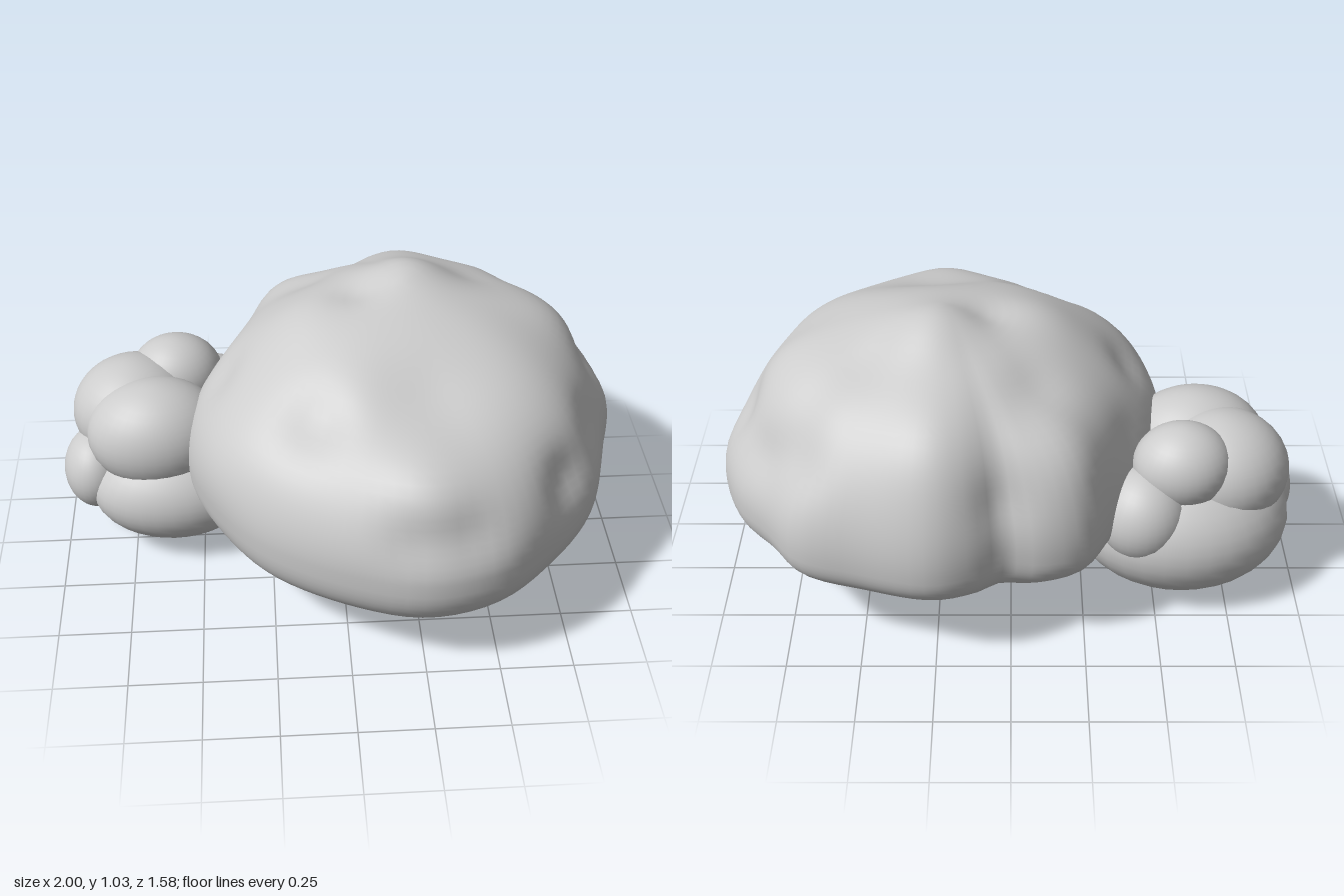
import * as THREE from 'three';
import { mergeVertices } from 'three/addons/utils/BufferGeometryUtils.js';

const CX = 0.23, CZ = -0.08, MID = 0.42;

// Plan outline of the large cloud, as x, z pairs
const OUTLINE = [
  [0.25, 0.79], [0, 0.72], [-0.28, 0.55], [-0.43, 0.35], [-0.53, 0.12], [-0.53, -0.08],
  [-0.45, -0.3], [-0.35, -0.47], [-0.25, -0.64], [-0.1, -0.69], [0.02, -0.68], [0.1, -0.74],
  [0.25, -0.79], [0.5, -0.73], [0.7, -0.66], [0.81, -0.52], [0.93, -0.38], [1, -0.15],
  [0.95, 0.06], [0.86, 0.35], [0.71, 0.55], [0.5, 0.73],
];

// Local swellings and hollows: x, y, z, radius, amount
const BUMPS = [
  // front lip, the crease under it and the slope above it
  [0.25, 0.71, 0.66, 0.16, 0.035], [0.28, 0.86, 0.38, 0.24, -0.065],
  [0.2, 0.57, 0.76, 0.11, -0.03], [0.38, 0.57, 0.74, 0.11, -0.03],
  [-0.1, 0.78, 0.38, 0.12, -0.045], [-0.36, 0.58, 0.3, 0.18, 0.03],
  // groove above the belt, running round the side
  [0.72, 0.56, 0.45, 0.11, -0.05], [0.85, 0.6, 0.2, 0.12, -0.03],
  [0.93, 0.65, -0.15, 0.13, -0.05], [0.86, 0.64, -0.42, 0.12, -0.04],
  [0.7, 0.7, -0.54, 0.12, -0.03], [0.74, 0.82, -0.15, 0.15, 0.02],
  // top
  [0.25, 1.0, -0.2, 0.14, 0.05], [0.07, 0.97, -0.1, 0.08, -0.02],
  [-0.1, 0.9, -0.05, 0.15, 0.025], [0.48, 0.92, -0.3, 0.12, -0.02],
  // back
  [0.25, 0.78, -0.6, 0.17, 0.03], [-0.06, 0.84, -0.38, 0.11, -0.03],
  [-0.17, 0.68, -0.5, 0.14, 0.03], [-0.38, 0.7, 0, 0.1, -0.03],
  [-0.42, 0.62, -0.3, 0.12, -0.02], [0.03, 0.62, -0.66, 0.1, -0.02],
];

function smooth(geometry) {
  geometry.deleteAttribute('uv');
  geometry.deleteAttribute('normal');
  const merged = mergeVertices(geometry, 1e-4);
  merged.computeVertexNormals();
  return merged;
}

// Returns the outline radius at any angle around the cloud centre
function outlineRadius() {
  const curve = new THREE.CatmullRomCurve3(
    OUTLINE.map(([x, z]) => new THREE.Vector3(x - CX, 0, z - CZ)), true);
  const samples = curve.getPoints(300).slice(0, 300)
    .map((p) => [Math.atan2(p.z, p.x), Math.hypot(p.x, p.z)])
    .sort((a, b) => a[0] - b[0]);
  const first = samples[0], last = samples[samples.length - 1];
  samples.push([first[0] + 2 * Math.PI, first[1]]);
  samples.unshift([last[0] - 2 * Math.PI, last[1]]);
  return (angle) => {
    const i = Math.max(1, samples.findIndex((s) => s[0] >= angle));
    const [a0, r0] = samples[i - 1], [a1, r1] = samples[i];
    return r0 + (r1 - r0) * (angle - a0) / Math.max(a1 - a0, 1e-6);
  };
}

// Rounded dome on a flat, slightly tilted underside, swollen by the bumps
function largeCloudGeometry() {
  const geometry = new THREE.SphereGeometry(1, 96, 56);
  const pos = geometry.attributes.position;
  const radius = outlineRadius();
  const p = new THREE.Vector3(), out = new THREE.Vector3(), b = new THREE.Vector3();
  for (let i = 0; i < pos.count; i++) {
    p.fromBufferAttribute(pos, i);
    const angle = Math.atan2(p.z, p.x);
    const flat = Math.min(1, Math.hypot(p.x, p.z));
    const power = p.y > 0 ? 2 / 1.95 : 2 / 2.9;
    // the outline evens out towards the poles
    const r = THREE.MathUtils.lerp(0.77, radius(angle), flat) * Math.pow(flat, power);
    const lift = Math.pow(Math.abs(p.y), power);
    const x = CX + r * Math.cos(angle), z = CZ + r * Math.sin(angle);
    const floor = 0.13 - 0.08 * z;
    const y = p.y > 0 ? MID + 0.57 * lift : MID - (MID - floor) * lift;
    out.set(x - CX, (y - MID) * 1.6, z - CZ).normalize();
    p.set(x, y, z);
    let push = 0;
    for (const [bx, by, bz, size, amount] of BUMPS) {
      push += amount * Math.exp(-p.distanceToSquared(b.set(bx, by, bz)) / (size * size));
    }
    p.addScaledVector(out, push);
    pos.setXYZ(i, p.x, p.y, p.z);
  }
  return smooth(geometry);
}

// Overlapping puffs of the small cloud: name, centre, radii
const PUFFS = [
  ['lowerPuff', [-0.59, 0.26, -0.23], [0.38, 0.26, 0.32]],
  ['frontPuff', [-0.6, 0.23, -0.03], [0.3, 0.19, 0.215]],
  ['outerPuff', [-0.73, 0.44, -0.22], [0.23, 0.2, 0.22]],
  ['upperFrontPuff', [-0.65, 0.44, -0.07], [0.25, 0.2, 0.2]],
  ['topPuff', [-0.58, 0.52, -0.32], [0.17, 0.15, 0.15]],
  ['innerPuff', [-0.45, 0.36, -0.38], [0.16, 0.17, 0.16]],
  ['sidePuff', [-0.88, 0.27, -0.1], [0.12, 0.15, 0.15]],
];

export function createModel() {
  const model = new THREE.Group();
  model.name = 'clouds';
  const material = new THREE.MeshStandardMaterial({ color: 0xcccccc });

  const largeCloud = new THREE.Mesh(largeCloudGeometry(), material);
  largeCloud.name = 'largeCloud';
  model.add(largeCloud);

  const smallCloud = new THREE.Group();
  smallCloud.name = 'smallCloud';
  const puff = smooth(new THREE.SphereGeometry(1, 32, 20));
  for (const [name, centre, radii] of PUFFS) {
    const mesh = new THREE.Mesh(puff, material);
    mesh.name = name;
    mesh.position.set(...centre);
    mesh.scale.set(...radii);
    smallCloud.add(mesh);
  }
  model.add(smallCloud);
  return model;
}
